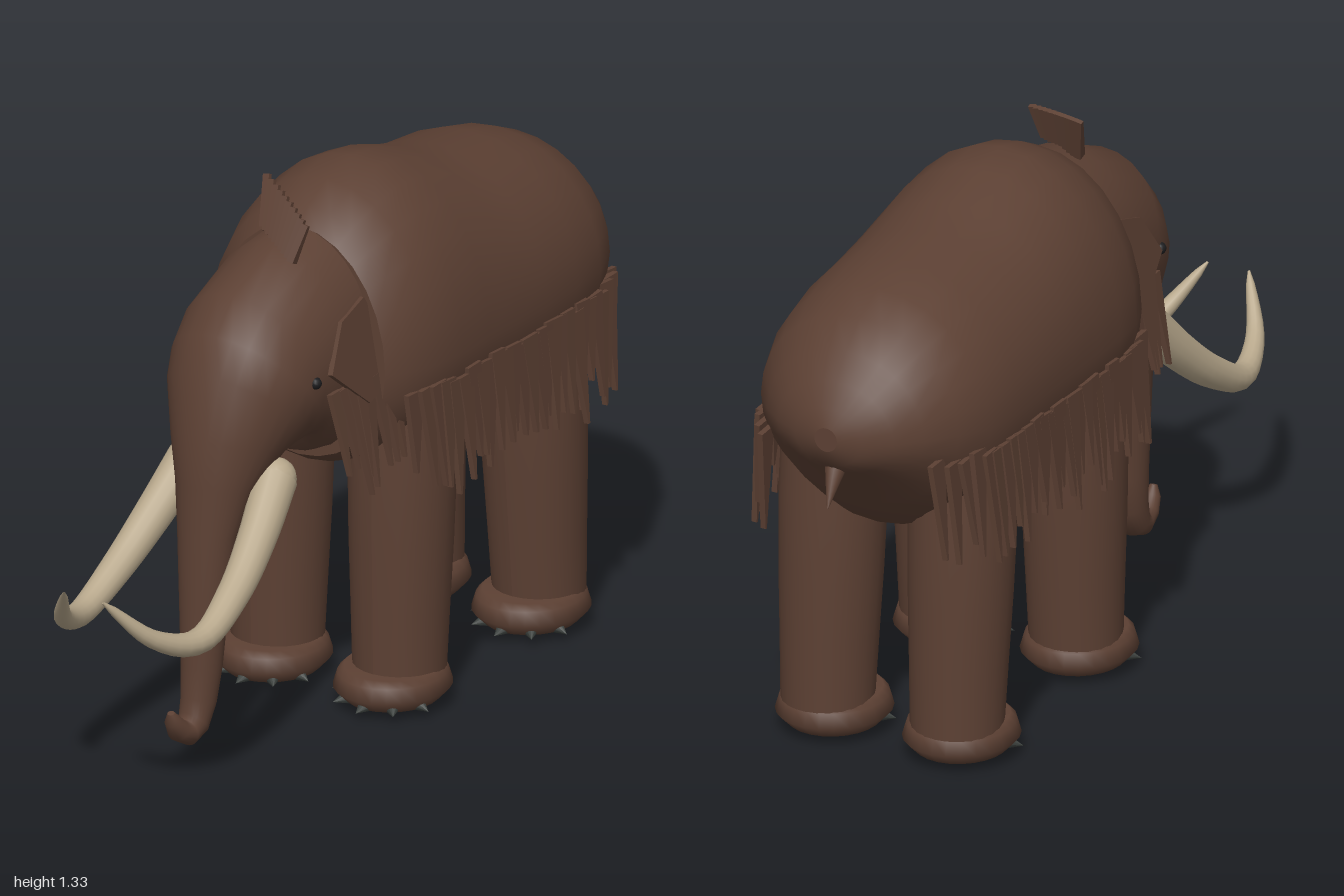
import * as THREE from 'three';
import { mergeGeometries } from 'three/addons/utils/BufferGeometryUtils.js';

const material = (name, color, extra = {}) => {
  const m = new THREE.MeshStandardMaterial({ color, ...extra });
  m.name = name;
  return m;
};

// Small seeded generator for uneven hair
let seed = 7;
const rand = () => (seed = (seed * 16807) % 2147483647) / 2147483647;

// Skin over oval rings; each section is [y, z, tilt in degrees, half width, up radius, down radius]
function loft(sections, sides = 28) {
  const pos = [], index = [];
  const ring = ([y, z, tilt, rx, up, down]) => {
    const t = THREE.MathUtils.degToRad(tilt);
    for (let j = 0; j < sides; j++) {
      const a = (j / sides) * Math.PI * 2;
      const h = Math.sin(a) * (Math.sin(a) > 0 ? up : down);
      pos.push(rx * Math.cos(a), y + h * Math.cos(t), z + h * Math.sin(t));
    }
  };
  sections.forEach(ring);
  for (let i = 0; i < sections.length - 1; i++) {
    for (let j = 0; j < sides; j++) {
      const a = i * sides + j, b = i * sides + (j + 1) % sides;
      index.push(a, b, a + sides, b, b + sides, a + sides);
    }
  }
  // End caps have their own vertices so their rims stay sharp
  [sections[0], sections[sections.length - 1]].forEach((s, end) => {
    const base = pos.length / 3;
    ring(s);
    pos.push(0, s[0], s[1]);
    for (let j = 0; j < sides; j++) {
      const a = base + j, b = base + (j + 1) % sides;
      index.push(base + sides, end ? a : b, end ? b : a);
    }
  });
  const g = new THREE.BufferGeometry();
  g.setAttribute('position', new THREE.Float32BufferAttribute(pos, 3));
  g.setIndex(index);
  g.computeVertexNormals();
  return g;
}

// Flat lock of hair: hangs from the origin, narrowing to its tip
function lock(length, width, tip = 0.1, thickness = 0.014) {
  const g = new THREE.BoxGeometry(thickness, length, width).translate(0, -length / 2, 0);
  const p = g.attributes.position;
  for (let i = 0; i < p.count; i++) if (p.getY(i) < -length / 2) p.setZ(i, p.getZ(i) * tip);
  g.computeVertexNormals();
  return g;
}

// Tube that narrows along its path
function taperedTube(points, radiusAt, n = 24, sides = 14) {
  const curve = new THREE.CatmullRomCurve3(points.map(p => new THREE.Vector3(...p)));
  const g = new THREE.TubeGeometry(curve, n, 1, sides);
  const p = g.attributes.position, v = new THREE.Vector3();
  for (let i = 0; i <= n; i++) {
    const c = curve.getPointAt(i / n);
    for (let j = 0; j <= sides; j++) {
      const k = i * (sides + 1) + j;
      v.fromBufferAttribute(p, k).sub(c).multiplyScalar(radiusAt(i / n)).add(c);
      p.setXYZ(k, v.x, v.y, v.z);
    }
  }
  return g;
}

const lathe = profile => new THREE.LatheGeometry(profile.map(p => new THREE.Vector2(...p)), 24);

export function createModel() {
  seed = 7;
  const model = new THREE.Group();
  model.name = 'mammoth';
  const fur = material('brown fur', 0x5c4033);
  const ivory = material('ivory', 0xb8a88c, { side: THREE.DoubleSide });
  const nail = material('grey nail', 0x3a3f3c);
  const black = material('dark eye', 0x1c1c1e);
  const add = (name, geometry, mat) => {
    const m = new THREE.Mesh(geometry, mat);
    m.name = name;
    model.add(m);
    return m;
  };

  // Body, rump to shoulders
  const body = [
    [0.91, -1.0, 0, 0.03, 0.03, 0.03],
    [0.91, -0.985, 0, 0.09, 0.075, 0.07],
    [0.91, -0.95, 0, 0.155, 0.13, 0.1],
    [0.91, -0.9, 0, 0.21, 0.19, 0.14],
    [0.91, -0.83, 0, 0.265, 0.25, 0.22],
    [0.9, -0.74, 0, 0.3, 0.3, 0.3],
    [0.9, -0.62, 0, 0.315, 0.33, 0.32],
    [0.9, -0.48, 0, 0.32, 0.345, 0.33],
    [0.9, -0.36, 0, 0.32, 0.375, 0.32],
    [0.9, -0.24, 0, 0.32, 0.415, 0.31],
    [0.9, -0.13, 0, 0.32, 0.43, 0.31],
    [0.9, -0.03, 0, 0.31, 0.405, 0.3],
    [0.9, 0.05, 0, 0.28, 0.365, 0.28],
    [0.9, 0.09, 0, 0.245, 0.325, 0.255],
  ];
  add('body', loft(body), fur);
  const bodyWidth = z => {
    const i = Math.max(1, body.findIndex(s => s[1] >= z));
    const a = body[i - 1], b = body[i];
    return THREE.MathUtils.mapLinear(z, a[1], b[1], a[3], b[3]);
  };

  // Head flowing into the curled trunk
  add('headAndTrunk', loft([
    [0.95, 0.04, 0, 0.21, 0.28, 0.3],
    [0.95, 0.16, 6, 0.21, 0.265, 0.28],
    [0.93, 0.27, 25, 0.2, 0.23, 0.27],
    [0.9, 0.31, 39, 0.195, 0.205, 0.23],
    [0.86, 0.34, 52, 0.182, 0.185, 0.19],
    [0.78, 0.388, 72, 0.138, 0.142, 0.13],
    [0.69, 0.44, 82, 0.1, 0.09, 0.085],
    [0.58, 0.475, 86, 0.076, 0.064, 0.07],
    [0.42, 0.49, 88, 0.062, 0.055, 0.055],
    [0.25, 0.5, 85, 0.05, 0.05, 0.05],
    [0.165, 0.513, 72, 0.043, 0.045, 0.045],
    [0.115, 0.535, 42, 0.038, 0.04, 0.042],
    [0.1, 0.565, 5, 0.034, 0.03, 0.036],
    [0.115, 0.598, -40, 0.029, 0.026, 0.028],
    [0.145, 0.62, -62, 0.022, 0.019, 0.02],
    [0.168, 0.63, -70, 0.009, 0.008, 0.008],
  ]), fur);
  add('lowerJaw', new THREE.SphereGeometry(1, 20, 12).scale(0.075, 0.045, 0.085), fur)
    .position.set(0, 0.665, 0.335);

  // Stubby tail
  add('tail', taperedTube([[0, 0.86, -0.93], [0, 0.8, -0.96], [0, 0.73, -0.99]],
    t => 0.035 * (1 - t) + 0.002, 8, 10), fur);

  for (const s of [1, -1]) {
    const side = s > 0 ? 'left' : 'right';

    // Eye and ear
    add(side + 'Eye', new THREE.SphereGeometry(0.015, 12, 8), black).position.set(s * 0.192, 0.94, 0.305);
    const flap = new THREE.Shape([[0.27, 0.95], [0.14, 0.84], [0.1, 0.85], [0.065, 1.02], [0.1, 1.09], [0.2, 1.06]]
      .map(([z, y]) => new THREE.Vector2(z, y - 1.06)));
    const ear = new THREE.ExtrudeGeometry(flap, { depth: 0.014, bevelEnabled: false })
      .translate(0, 0, -0.007).rotateY(-Math.PI / 2).rotateZ(s * 0.18);
    add(side + 'Ear', ear, fur).position.set(s * 0.19, 1.06, 0);

    // Tusk
    add(side + 'Tusk', taperedTube([
      [s * 0.122, 0.705, 0.37], [s * 0.145, 0.6, 0.48], [s * 0.163, 0.5, 0.61],
      [s * 0.166, 0.432, 0.76], [s * 0.13, 0.47, 0.89], [s * 0.055, 0.585, 1.0],
    ], t => 0.05 * Math.pow(1 - t, 0.6) + 0.003), ivory);
    add(side + 'TuskRoot', new THREE.SphereGeometry(0.051, 14, 10), ivory).position.set(s * 0.122, 0.705, 0.37);

    // Legs, feet and toenails
    for (const [end, footZ, legZ, topZ] of [['Front', -0.055, -0.078, -0.09], ['Rear', -0.64, -0.668, -0.64]]) {
      const leg = lathe([[0.112, 0.09], [0.118, 0.25], [0.125, 0.42], [0.13, 0.62], [0.125, 0.85]]);
      const p = leg.attributes.position;
      for (let i = 0; i < p.count; i++) {
        p.setZ(i, p.getZ(i) + THREE.MathUtils.mapLinear(p.getY(i), 0.09, 0.62, legZ, topZ));
      }
      leg.computeVertexNormals();
      add(side + end + 'Leg', leg, fur).position.x = s * 0.173;
      add(side + end + 'Foot', lathe([[0, 0.006], [0.06, 0.01], [0.11, 0.025], [0.138, 0.055], [0.128, 0.09], [0.113, 0.105], [0, 0.106]])
        .scale(1, 1, 1.1), fur).position.set(s * 0.17, 0, footZ);
      const nails = [-70, -36, 0, 36, 70].map(deg => {
        const a = THREE.MathUtils.degToRad(deg);
        return new THREE.ConeGeometry(0.018, 0.04, 8).rotateX(Math.PI / 2 + 0.2).rotateY(a)
          .translate(s * 0.17 + Math.sin(a) * 0.126, 0.032, footZ + Math.cos(a) * 0.139);
      });
      add(side + end + 'Toenails', mergeGeometries(nails), nail);
    }

    // Hair skirt along the flank
    const skirt = [];
    for (let i = 0; i < 28; i++) {
      const z = 0.03 - i * 0.0335;
      const length = 0.2 + rand() * 0.09;
      skirt.push(lock(length, 0.05 + rand() * 0.015)
        .rotateX((rand() - 0.5) * 0.14).rotateZ(s * (0.05 + rand() * 0.05))
        .translate(s * (bodyWidth(z) - 0.002), 0.86 - 0.02 * rand(), z));
    }
    add(side + 'FlankHair', mergeGeometries(skirt), fur);

    // Cheek hair below the ear
    const cheek = [];
    for (let i = 0; i < 8; i++) {
      cheek.push(lock(0.2 + rand() * 0.08, 0.045)
        .rotateX((rand() - 0.5) * 0.15).rotateZ(s * (0.1 + rand() * 0.1))
        .translate(s * (0.205 + 0.003 * i), 0.9, 0.245 - i * 0.03));
    }
    add(side + 'CheekHair', mergeGeometries(cheek), fur);
  }

  // Crest of hair crossing the crown diagonally
  const crest = [];
  for (let i = 0; i < 10; i++) {
    const t = i / 9;
    crest.push(lock(0.125 - 0.03 * t, 0.022, 0.5, 0.018)
      .rotateX(Math.PI - 0.4).rotateZ(0.22 - 0.4 * t)
      .translate(-0.07 + 0.15 * t, 1.22 - 0.02 * t, 0.13 + 0.11 * t));
  }
  add('crownHair', mergeGeometries(crest), fur);

  return model;
}
